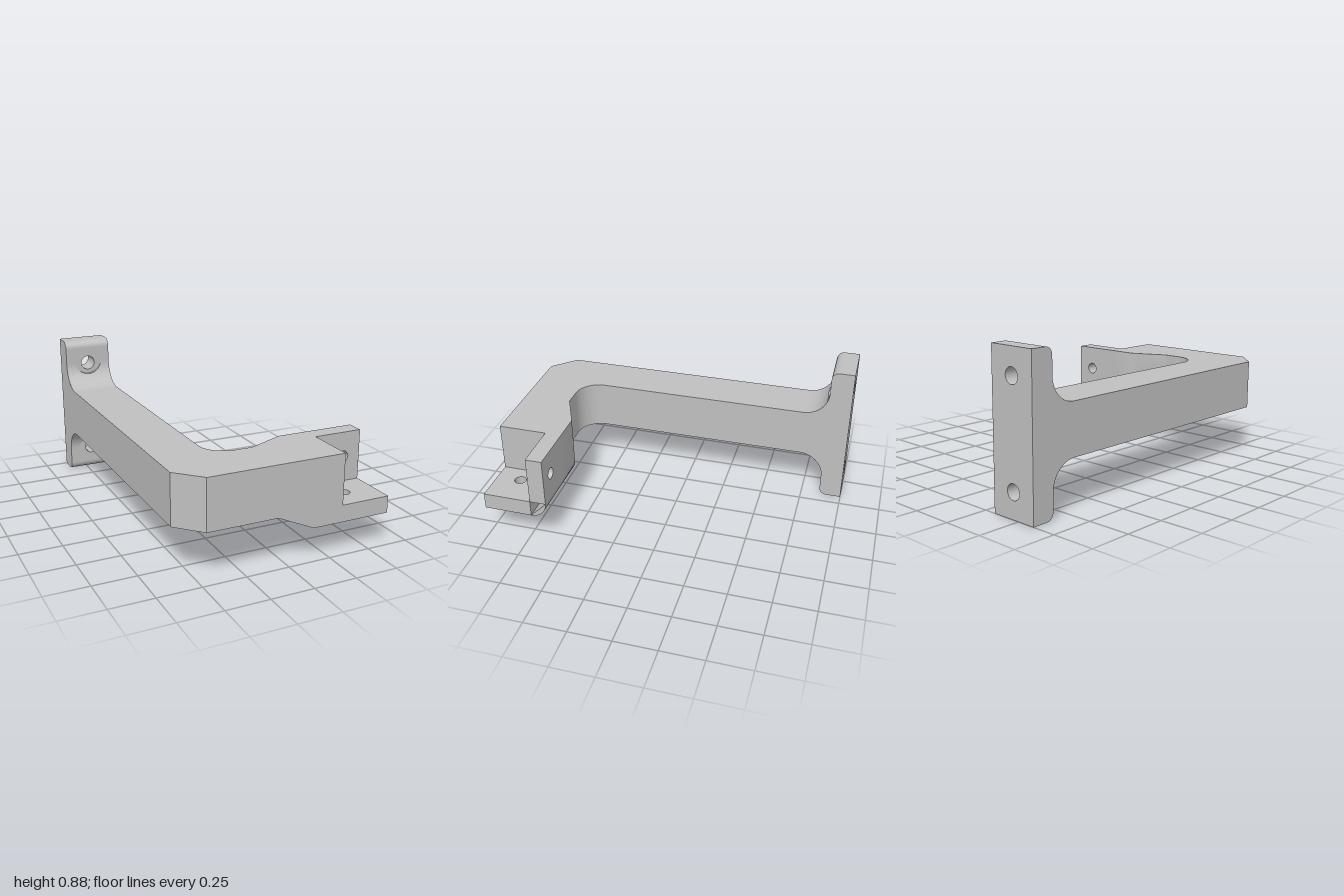
import * as THREE from 'three';
import { toCreasedNormals } from 'three/addons/utils/BufferGeometryUtils.js';

const BOTTOM = 0.293, TOP = 0.585;        // beam height range
const MID = 0.439, ARM_X = -0.466, HALF_W = 0.144;
const FLANGE_Z = -0.865, FILLET = 0.15;
const INNER_Z = 0.71, WALL = 0.098;       // bracket inner corner and thickness

const metal = new THREE.MeshStandardMaterial({ color: 0xc0c0c0, side: THREE.DoubleSide });
metal.name = 'grey metal';

function part(name, geometry) {
  const mesh = new THREE.Mesh(toCreasedNormals(geometry, 0.5), metal);
  mesh.name = name;
  return mesh;
}

function extrude(shape, depth) {
  return new THREE.ExtrudeGeometry(shape, { depth, bevelEnabled: false, curveSegments: 24 });
}

// Profile drawn as (-z, y), extruded along +x from x0
function extrudeX(shape, x0, x1) {
  return extrude(shape, x1 - x0).rotateY(Math.PI / 2).translate(x0, 0, 0);
}

// Plan drawn as (x, z), extruded between y0 and y1
function extrudeY(shape, y0, y1) {
  return extrude(shape, y1 - y0).rotateX(Math.PI / 2).translate(0, y1, 0);
}

function rectWithHole(x0, y0, x1, y1, hx, hy, r) {
  const shape = new THREE.Shape([[x0, y0], [x1, y0], [x1, y1], [x0, y1]].map(p => new THREE.Vector2(...p)));
  shape.holes.push(new THREE.Path().absarc(hx, hy, r, 0, Math.PI * 2, true));
  return shape;
}

// Skin a list of equally long point rows
function skin(rows) {
  const n = rows[0].length, index = [];
  for (let i = 0; i < rows.length - 1; i++) {
    for (let j = 0; j < n - 1; j++) {
      const a = i * n + j, b = a + n;
      index.push(a, b, a + 1, b, b + 1, a + 1);
    }
  }
  const geometry = new THREE.BufferGeometry();
  geometry.setAttribute('position', new THREE.Float32BufferAttribute(rows.flat(2), 3));
  geometry.setIndex(index);
  return geometry;
}

// Upper half of the mounting flange, centred on the arm axis
function mountHalf() {
  const half = new THREE.Group();
  const a = (TOP - BOTTOM) / 2, round = 0.045, lipY = MID - round;

  const plate = extrude(rectWithHole(-HALF_W, 0, HALF_W, lipY, 0, 0.293, 0.044), 1 + FLANGE_Z);
  half.add(part('flangePlate', plate.translate(0, 0, -1)));

  // Rounded end of the flange
  const lip = new THREE.Shape();
  lip.moveTo(1, lipY).lineTo(1, MID).lineTo(-FLANGE_Z + round, MID);
  lip.absarc(-FLANGE_Z + round, lipY, round, Math.PI / 2, Math.PI, false);
  half.add(part('flangeLip', extrudeX(lip, -HALF_W, HALF_W)));

  // Fillet surface, cut away around the bolt hole by a round spot face
  const cy = a + FILLET, cz = FLANGE_Z + FILLET;
  const spotY = 0.316, spotR = 0.094, columns = 48, steps = 20;
  const rows = Array.from({ length: steps + 2 }, () => []);
  for (let j = 0; j <= columns; j++) {
    const x = HALF_W * (2 * j / columns - 1);
    const cut = Math.abs(x) < spotR ? spotY - Math.sqrt(spotR * spotR - x * x) : cy;
    const start = Math.min(cy, cut);
    const t0 = Math.asin((cy - start) / FILLET);
    rows[0].push([x, start, FLANGE_Z]);
    for (let i = 0; i <= steps; i++) {
      const t = t0 + (Math.PI / 2 - t0) * i / steps;
      rows[i + 1].push([x, cy - FILLET * Math.sin(t), cz - FILLET * Math.cos(t)]);
    }
  }
  half.add(part('flangeFillet', skin(rows)));

  // Flat sides of the fillet
  const web = new THREE.Shape();
  web.moveTo(-FLANGE_Z, a).lineTo(-FLANGE_Z, cy);
  web.absarc(-cz, cy, FILLET, 0, -Math.PI / 2, true);
  for (const x of [-HALF_W, HALF_W]) {
    const side = new THREE.ShapeGeometry(web, 24).rotateY(Math.sign(x) * Math.PI / 2);
    if (x < 0) side.scale(1, 1, -1).index.array.reverse();
    half.add(part('filletSide', side.translate(x, 0, 0)));
  }
  return half;
}

export function createModel() {
  const model = new THREE.Group();
  model.name = 'angledBracket';

  // Mounting flange from two identical halves
  for (const turn of [0, Math.PI]) {
    const half = mountHalf();
    half.name = turn ? 'lowerMount' : 'upperMount';
    half.position.set(ARM_X, MID, 0);
    half.rotation.z = turn;
    model.add(half);
  }

  // Arm with chamfered outer and rounded inner corner
  const x0 = ARM_X - HALF_W, x1 = ARM_X + HALF_W, bend = 0.145, flareX = -0.07;
  const arm = new THREE.Shape();
  arm.moveTo(x0, FLANGE_Z).lineTo(x1, FLANGE_Z).lineTo(x1, INNER_Z - bend);
  arm.absarc(x1 + bend, INNER_Z - bend, bend, Math.PI, Math.PI / 2, true);
  arm.lineTo(flareX, INNER_Z).lineTo(flareX, 1).lineTo(-0.477, 1).lineTo(x0, 0.862);
  model.add(part('arm', extrudeY(arm, BOTTOM, TOP)));

  // Flared beam: grows backward and downward round the inner corner
  const pocketX = 0.318, endX = 0.61;
  const section = (x, d) => {
    const ring = [[x, TOP, INNER_Z - d]];
    for (let i = 0; i <= 16; i++) {
      const t = i / 16 * Math.PI / 2;
      ring.push([x, BOTTOM - d * Math.sin(t), INNER_Z - d * Math.cos(t)]);
    }
    ring.push([x, BOTTOM - d, 1], [x, TOP, 1], ring[0]);
    return ring;
  };
  model.add(part('flaredBeam', skin([section(flareX, 0.001), section(0.142, WALL), section(pocketX, WALL)])));

  // Side of the pocket
  const pocketSide = new THREE.PlaneGeometry(1 - INNER_Z, TOP - BOTTOM).rotateY(Math.PI / 2);
  model.add(part('pocketSide', pocketSide.translate(pocketX, MID, (1 + INNER_Z) / 2)));

  // Drilled back wall and floor of the pocket
  const wall = extrude(rectWithHole(pocketX, BOTTOM, endX, TOP, 0.502, MID, 0.035), WALL);
  model.add(part('pocketWall', wall.translate(0, 0, INNER_Z - WALL)));
  const floor = rectWithHole(pocketX, INNER_Z, endX, 1, 0.423, 0.851, 0.035);
  model.add(part('pocketFloor', extrudeY(floor, BOTTOM - WALL, BOTTOM)));

  // Rounded edge joining wall and floor
  const corner = new THREE.Shape();
  corner.moveTo(-INNER_Z, BOTTOM);
  corner.absarc(-INNER_Z, BOTTOM, WALL, -Math.PI / 2, 0, false);
  model.add(part('pocketCorner', extrudeX(corner, pocketX, endX)));

  return model;
}
